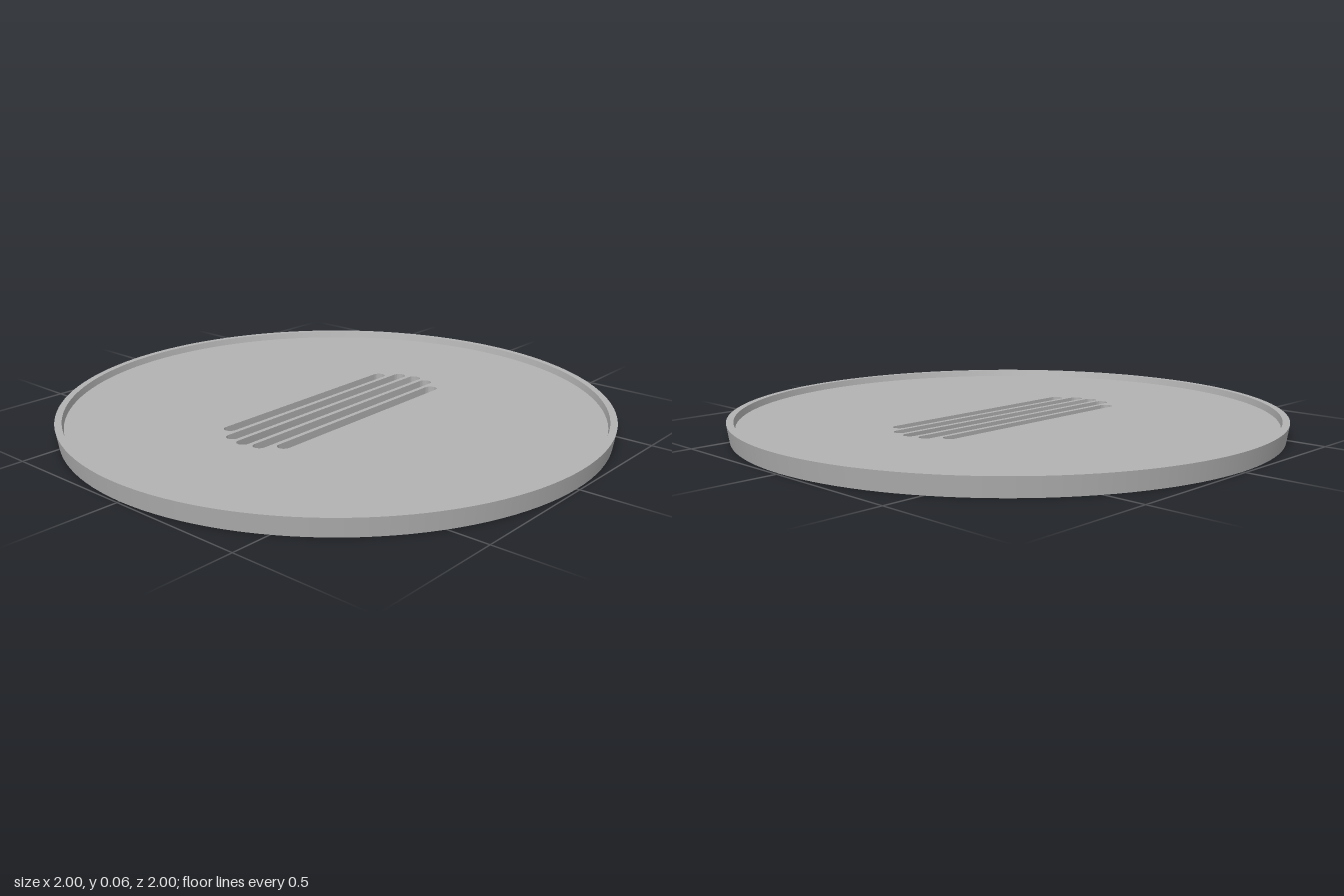
import * as THREE from 'three';
import { toCreasedNormals } from 'three/addons/utils/BufferGeometryUtils.js';

const SEGMENTS = 128;
const HEIGHT = 0.065, FLOOR = 0.041;
const BASE_R = 0.99, RIM_R = 1, RIM_INNER_R = 0.975, FLOOR_R = 0.97;

// Rounded slot outline centred on x = 0
function slotPath(y, halfLength, radius) {
  const path = new THREE.Path();
  const c = halfLength - radius;
  path.absarc(c, y, radius, -Math.PI / 2, Math.PI / 2, false);
  path.absarc(-c, y, radius, Math.PI / 2, Math.PI * 1.5, false);
  path.closePath();
  return path;
}

export function createModel() {
  const group = new THREE.Group();
  group.name = 'slottedTray';
  const grey = new THREE.MeshStandardMaterial({ color: 0xb2b2b2 });
  grey.name = 'grey';

  // Floor disc with five slots cut through
  const outline = [];
  for (let i = 0; i < SEGMENTS; i++) {
    const a = (i / SEGMENTS) * Math.PI * 2;
    outline.push(new THREE.Vector2(Math.cos(a) * BASE_R, Math.sin(a) * BASE_R));
  }
  const disc = new THREE.Shape(outline);
  const halfLengths = [0.495, 0.482, 0.432];
  for (let i = -2; i <= 2; i++) {
    disc.holes.push(slotPath(i * 0.064, halfLengths[Math.abs(i)], 0.0235));
  }
  const floorGeo = new THREE.ExtrudeGeometry(disc, { depth: FLOOR, bevelEnabled: false, curveSegments: 16 });
  floorGeo.rotateX(-Math.PI / 2);

  // Draw the upper edge in to meet the inside of the rim
  const pos = floorGeo.attributes.position;
  for (let i = 0; i < pos.count; i++) {
    if (pos.getY(i) > FLOOR / 2 && Math.hypot(pos.getX(i), pos.getZ(i)) > 0.9) {
      const s = FLOOR_R / BASE_R;
      pos.setX(i, pos.getX(i) * s);
      pos.setZ(i, pos.getZ(i) * s);
    }
  }
  const floor = new THREE.Mesh(toCreasedNormals(floorGeo, Math.PI / 6), grey);
  floor.name = 'slottedFloor';
  group.add(floor);

  // Rim bands: flared outer wall, flat lip, inner wall
  const profile = [[BASE_R, 0], [RIM_R, HEIGHT], [RIM_INNER_R, HEIGHT], [FLOOR_R, FLOOR]]
    .map(([r, y]) => new THREE.Vector2(r, y));
  ['outerWall', 'rimLip', 'innerWall'].forEach((name, i) => {
    const band = new THREE.Mesh(new THREE.LatheGeometry(profile.slice(i, i + 2), SEGMENTS), grey);
    band.name = name;
    group.add(band);
  });

  return group;
}
